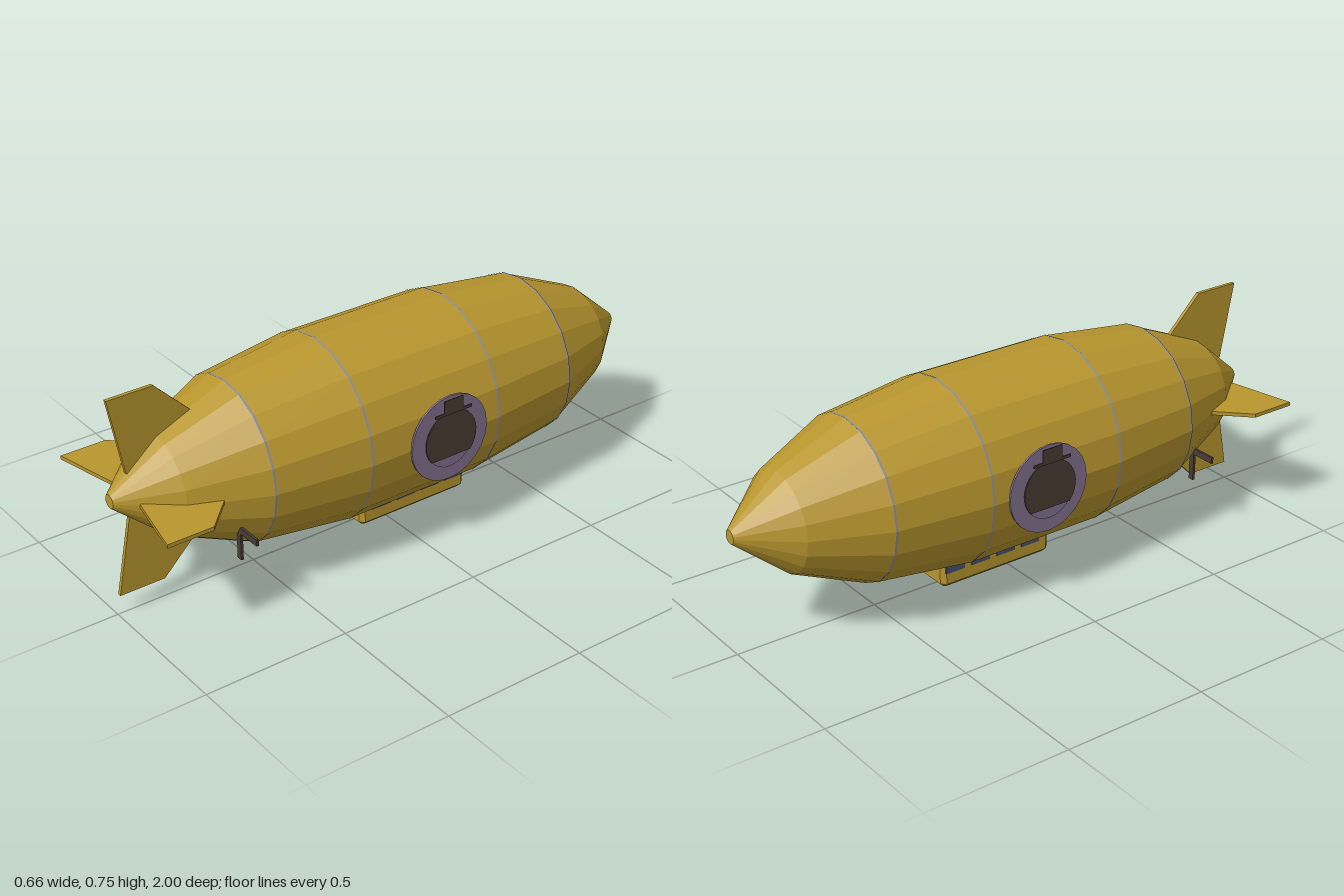
import * as THREE from 'three';

const mat = (color, extra = {}) => new THREE.MeshStandardMaterial({ color, flatShading: true, ...extra });
const GOLD = mat(0xb8962e), SEAM = mat(0x8a8fa5), BROWN = mat(0x4a3c32);
const PURPLE = mat(0x84718f), GLASS = mat(0x46506e), METAL = mat(0x8c8c84);
const AXIS_Y = 0.409;

function add(parent, name, geometry, material, x = 0, y = 0, z = 0) {
  const mesh = new THREE.Mesh(geometry, material);
  mesh.name = name;
  mesh.position.set(x, y, z);
  parent.add(mesh);
  return mesh;
}

const shapeOf = (pts) => new THREE.Shape(pts.map(([x, y]) => new THREE.Vector2(x, y)));

// Flat plate of the given outline, centred on its own thickness
function plate(shape, thickness) {
  return new THREE.ExtrudeGeometry(shape, { depth: thickness, bevelEnabled: false, curveSegments: 12 })
    .translate(0, 0, -thickness / 2);
}

// Faceted envelope with thin seam bands
function buildHull() {
  const hull = new THREE.Group();
  hull.name = 'hull';
  const half = [[0.023, 1], [0.169, 0.83], [0.275, 0.583], [0.3155, 0.25]];
  const profile = [[0, -1], ...half.map(([r, z]) => [r, -z]), ...half.slice().reverse(), [0, 1]]
    .map(([r, z]) => new THREE.Vector2(r, z));
  add(hull, 'envelope', new THREE.LatheGeometry(profile, 20).rotateX(Math.PI / 2), GOLD);
  for (const [r, z] of half.slice(2)) {
    for (const s of [-1, 1]) {
      const band = new THREE.CylinderGeometry(r + 0.0015, r + 0.0015, 0.007, 20, 1, true).rotateX(Math.PI / 2);
      add(hull, 'seamBand', band, SEAM, 0, 0, s * z);
    }
  }
  hull.position.y = AXIS_Y;
  hull.scale.x = 0.983;
  return hull;
}

// One tail fin; outline in (distance from axis, z), standing upwards
function buildFin(span) {
  const outline = shapeOf([[0.077, -0.94], [span, -0.99], [span, -0.83], [span - 0.13, -0.7], [0.077, -0.7]]);
  return plate(outline, 0.013).rotateX(-Math.PI / 2).rotateZ(Math.PI / 2);
}

function buildTail() {
  const tail = new THREE.Group();
  tail.name = 'tail';
  for (let i = 0; i < 4; i++) {
    const fin = add(tail, 'tailFin', buildFin(i % 2 ? 0.311 : 0.341), GOLD);
    fin.rotation.z = i * Math.PI / 2;
  }
  tail.position.y = AXIS_Y;
  return tail;
}

// Cabin with chamfered corners and lower edge, windows and belly hatch
function buildGondola() {
  const gondola = new THREE.Group();
  gondola.name = 'gondola';
  const w = 0.09, l = 0.215, c = 0.015;
  const footprint = shapeOf([
    [w, -l + c], [w, l - c], [w - c, l], [-w + c, l],
    [-w, l - c], [-w, -l + c], [-w + c, -l], [w - c, -l],
  ]);
  const body = new THREE.ExtrudeGeometry(footprint, {
    depth: 0.09, bevelThickness: c, bevelSize: c, bevelOffset: -c, bevelSegments: 1,
  }).rotateX(-Math.PI / 2);
  add(gondola, 'cabin', body, GOLD, 0, 0.04, -0.08);
  for (const s of [-1, 1]) {
    for (let i = 0; i < 4; i++) {
      add(gondola, 'window', new THREE.BoxGeometry(0.006, 0.03, 0.073), GLASS, s * 0.0895, 0.094, 0.054 - i * 0.1);
    }
  }
  add(gondola, 'hatchRing', new THREE.CylinderGeometry(0.04, 0.04, 0.022, 16), METAL, 0, 0.017, -0.145);
  add(gondola, 'hatchCap', new THREE.CylinderGeometry(0.033, 0.033, 0.01, 16), GOLD, 0, 0.005, -0.145);
  return gondola;
}

// Round side panel with a raised dark plate, facing outwards on side s
function buildSidePanel(s) {
  const panel = new THREE.Group();
  panel.name = 'sidePanel';
  const disc = new THREE.CylinderGeometry(0.15, 0.15, 0.007, 24).rotateX(Math.PI / 2);
  add(panel, 'disc', disc, PURPLE, 0, 0, 0.311);
  const rim = new THREE.CylinderGeometry(0.092, 0.092, 0.004, 24).rotateX(Math.PI / 2);
  add(panel, 'innerDisc', rim, PURPLE, 0, -0.01, 0.3175);
  const cut = new THREE.Shape();
  cut.absarc(0, 0, 0.1, -0.7, Math.PI + 0.7, false);
  add(panel, 'darkPlate', plate(cut, 0.004), BROWN, 0, 0, 0.321);
  add(panel, 'upperBar', new THREE.BoxGeometry(0.145, 0.01, 0.004), BROWN, 0, 0.1, 0.33);
  add(panel, 'upperPlate', new THREE.BoxGeometry(0.075, 0.05, 0.004), BROWN, 0, 0.122, 0.33);
  panel.position.set(0, AXIS_Y, -0.045);
  panel.rotation.y = s * Math.PI / 2;
  return panel;
}

// L-shaped bracket under the tail on side s
function buildBracket(s) {
  const bracket = new THREE.Group();
  bracket.name = 'tailBracket';
  add(bracket, 'bracketArm', new THREE.BoxGeometry(0.107, 0.022, 0.009), BROWN, s * 0.2335, 0.281, 0.667);
  add(bracket, 'bracketLeg', new THREE.BoxGeometry(0.02, 0.1, 0.009), BROWN, s * 0.19, 0.224, 0.667);
  return bracket;
}

export function createModel() {
  const model = new THREE.Group();
  model.name = 'airship';
  model.add(buildHull(), buildTail(), buildGondola());
  for (const s of [-1, 1]) model.add(buildSidePanel(s), buildBracket(s));
  return model;
}
